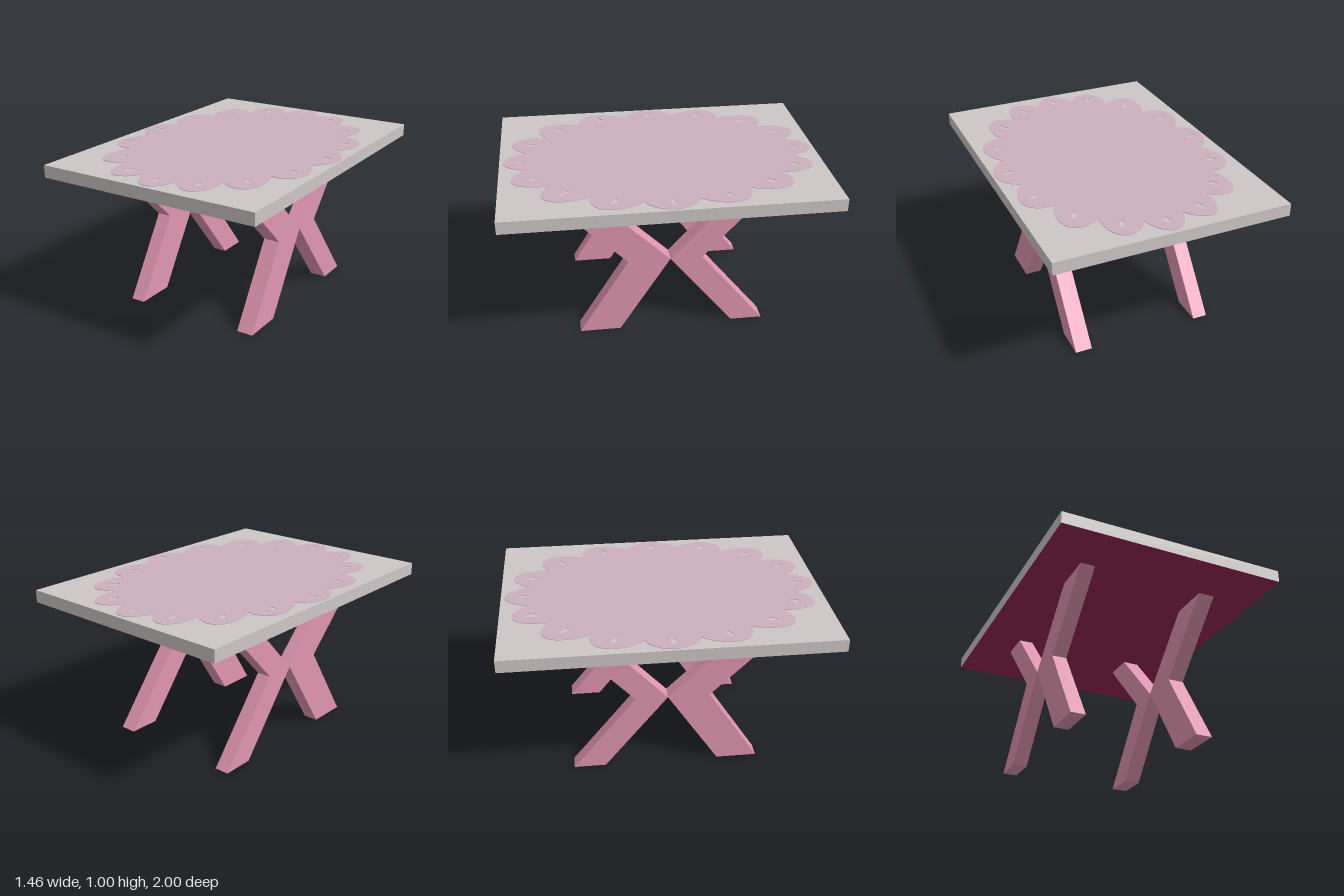
import * as THREE from 'three';

const paint = (name, color) => {
  const m = new THREE.MeshStandardMaterial({ color });
  m.name = name;
  return m;
};

export function createModel() {
  const table = new THREE.Group();
  table.name = 'table';
  const grey = paint('warm grey', 0xcdc7c6);
  const maroon = paint('maroon', 0x982855);
  const pink = paint('pink', 0xe096b0);
  const mauve = paint('mauve', 0xcdb1be);

  const add = (name, geometry, material) => {
    const mesh = new THREE.Mesh(geometry, material);
    mesh.name = name;
    table.add(mesh);
    return mesh;
  };

  // Slab with a maroon underside
  const slab = new THREE.BoxGeometry(1.455, 0.078, 2);
  slab.translate(0, 0.959, 0);
  add('tableTop', slab, [grey, grey, grey, maroon, grey, grey]);

  // Bent legs: side profiles as [z, y], a front and a back one meeting at the waist
  const profiles = {
    frontLeg: [[0.68, 0.92], [0.42, 0.92], [-0.01, 0.5], [0.31, 0], [0.565, 0], [0.25, 0.5]],
    backLeg: [[-0.4, 0.92], [-0.6, 0.92], [-0.21, 0.5], [-0.61, 0], [-0.41, 0], [-0.01, 0.5]],
  };
  const sides = { left: [0.345, 0.452], right: [-0.472, -0.378] };
  for (const [side, [x0, x1]] of Object.entries(sides)) {
    for (const [name, points] of Object.entries(profiles)) {
      const shape = new THREE.Shape(points.map(([z, y]) => new THREE.Vector2(z, y)));
      const leg = new THREE.ExtrudeGeometry(shape, { depth: x1 - x0, bevelEnabled: false });
      leg.rotateY(-Math.PI / 2).translate(x1, 0, 0);
      add(`${side} ${name}`, leg, pink);
    }
  }

  // Oval doily with sixteen scallops
  const lobes = 16, steps = 14;
  const outline = [];
  for (let i = 0; i < lobes * steps; i++) {
    const t = (i / (lobes * steps)) * Math.PI * 2;
    const bulge = 1 + 0.035 * Math.sin(2 * t) ** 2;
    const r = 0.865 + (bulge - 0.865) * Math.abs(Math.cos(t * lobes / 2)) ** 0.8;
    outline.push(new THREE.Vector2(0.713 * r * Math.cos(t), 0.977 * r * Math.sin(t)));
  }
  const doily = new THREE.Shape(outline);

  // One small slot in each scallop, pointing outwards
  for (let k = 0; k < lobes; k++) {
    const t = (k / lobes) * Math.PI * 2;
    const x = 0.632 * Math.cos(t), y = 0.872 * Math.sin(t);
    const slot = new THREE.Path();
    slot.absellipse(x, y, 0.035, 0.016, 0, Math.PI * 2, true, Math.atan2(y, x));
    doily.holes.push(slot);
  }
  const cloth = new THREE.ExtrudeGeometry(doily, { depth: 0.003, bevelEnabled: false, curveSegments: 8 });
  cloth.rotateX(-Math.PI / 2).translate(0, 0.998, 0);
  add('doily', cloth, mauve);

  return table;
}
